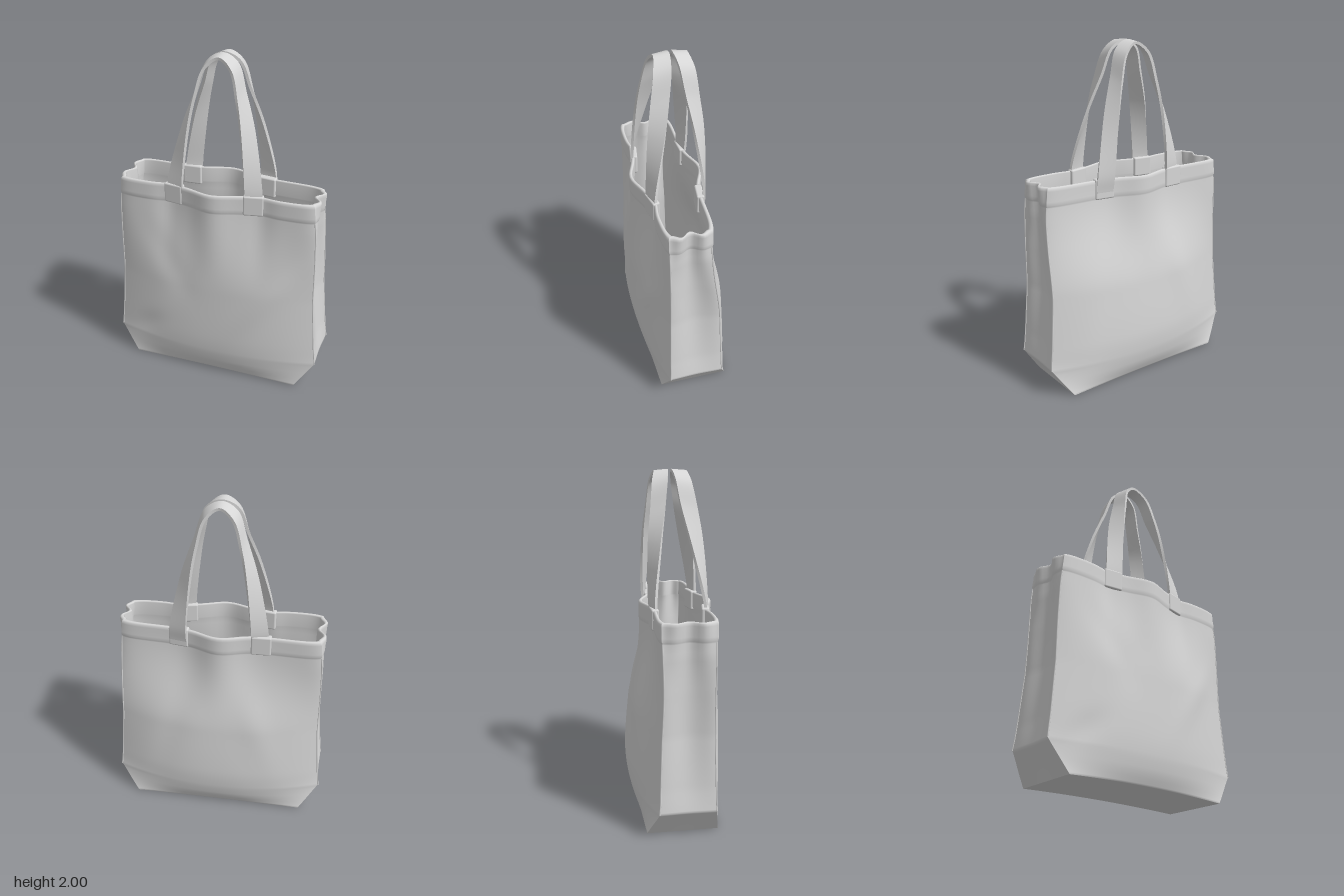
import * as THREE from 'three';
import { RoundedBoxGeometry } from 'three/addons/geometries/RoundedBoxGeometry.js';

const WALL = 0.014;
const { lerp, smoothstep } = THREE.MathUtils;

// Bag sections by height: y, corner x, front corner z, back corner z,
// front middle z, back middle z, side bulge, side pinch
const LEVELS = [
  [0.00, 0.530, 0.205, -0.205, 0.212, -0.212, 0.00, 0.000],
  [0.07, 0.578, 0.192, -0.182, 0.238, -0.242, 0.00, 0.003],
  [0.17, 0.646, 0.174, -0.148, 0.258, -0.264, 0.00, 0.005],
  [0.30, 0.632, 0.170, -0.140, 0.265, -0.270, 0.00, 0.015],
  [0.60, 0.610, 0.164, -0.128, 0.262, -0.247, 0.00, 0.030],
  [0.85, 0.609, 0.163, -0.114, 0.258, -0.222, 0.00, 0.035],
  [1.05, 0.604, 0.165, -0.104, 0.254, -0.200, 0.01, 0.030],
  [1.24, 0.584, 0.168, -0.098, 0.246, -0.180, 0.032, 0.010],
];

// Soft folds: x, y, angle, half length, half width, depth
const FRONT_FOLDS = [
  [-0.33, 0.85, -1.0, 0.28, 0.08, -0.009], [-0.15, 0.70, 1.2, 0.25, 0.09, -0.008],
  [0.36, 0.62, 0.95, 0.28, 0.07, 0.009], [-0.45, 0.25, 0.6, 0.14, 0.07, -0.009],
];
const BACK_FOLDS = [
  [-0.20, 0.75, 1.25, 0.40, 0.09, 0.009], [0.25, 0.70, -1.3, 0.40, 0.09, -0.009],
];

function foldDepth(folds, x, y) {
  let d = 0;
  for (const [fx, fy, a, len, wid, depth] of folds) {
    const along = ((x - fx) * Math.cos(a) + (y - fy) * Math.sin(a)) / len;
    const across = ((y - fy) * Math.cos(a) - (x - fx) * Math.sin(a)) / wid;
    d += depth * Math.exp(-along * along - across * across);
  }
  return d;
}

// Section at height y: widths run straight, depths follow a smooth curve
function levelAt(y) {
  const last = LEVELS.length - 1;
  let i = 0;
  while (i < last - 1 && y > LEVELS[i + 1][0]) i++;
  const a = LEVELS[i], b = LEVELS[i + 1], h = b[0] - a[0];
  const t = THREE.MathUtils.clamp((y - a[0]) / h, 0, 1);
  const slope = (n, k) => {
    const p = LEVELS[Math.max(0, n - 1)], q = LEVELS[Math.min(last, n + 1)];
    return (q[k] - p[k]) / (q[0] - p[0]);
  };
  return a.map((v, k) => {
    const line = lerp(v, b[k], t);
    if (k < 2) return line;
    const s = (b[k] - v) / h;
    return line + h * t * (1 - t) * ((slope(i, k) - s) * (1 - t) - (slope(i + 1, k) - s) * t);
  });
}

// Wavy line of the mouth: bowed out between the handles
const bell = (d, w) => Math.exp(-((d / w) ** 2));
const mouthZ = (x, side) => side > 0
  ? 0.187 + 0.057 * bell(x, 0.13) - 0.016 * bell(Math.abs(x) - 0.28, 0.07)
  : -0.115 + 0.05 * x - 0.065 * bell(x, 0.14);

// Depth of the front (side 1) or back (side -1) panel at x
function panelZ(x, y, side) {
  const L = levelAt(y), u = Math.min(1, Math.abs(x) / L[1]);
  const corner = side > 0 ? L[2] : L[3], mid = side > 0 ? L[4] : L[5];
  const fold = foldDepth(side > 0 ? FRONT_FOLDS : BACK_FOLDS, x, y) * (1 - u ** 6) * smoothstep(y, 0, 0.15);
  const low = lerp(mid, corner, u ** 2.2) + side * fold;
  const high = mouthZ(x, side) - side * 0.02 * u ** 14;
  return lerp(low, high, smoothstep(y, 0.6, 1.2));
}

// Closed ring round the bag, moved inward by inset
function bagRing(y, inset, squash = 1) {
  const N = 56, M = 20, pts = [], L = levelAt(y);
  const panel = (k, side) => {
    const x = L[1] * Math.sin(Math.PI * (k / N - 0.5)) * side;
    pts.push([x * (1 - inset / L[1]), panelZ(x, y, side) - side * inset]);
  };
  const gusset = (k, side) => {
    const v = (1 - Math.cos(Math.PI * k / M)) / 2;
    const front = panelZ(side * L[1], y, 1) - inset, back = panelZ(side * L[1], y, -1) + inset;
    const x = L[1] - inset + L[6] * Math.sin(2 * Math.PI * v) ** 2 - L[7] * Math.sin(Math.PI * v) ** 2;
    pts.push([side * x, lerp(front, back, side > 0 ? v : 1 - v)]);
  };
  for (const side of [1, -1]) {
    for (let k = 0; k < N; k++) panel(k, side);
    for (let k = 0; k < M; k++) gusset(k, side);
  }
  return pts.map(([x, z]) => {
    const lift = 0.012 * (1 - (x / L[1]) ** 2) * Math.max(0, 1 - y / 0.1);
    return new THREE.Vector3(x, y + lift, z * squash);
  });
}

// Skin over closed rings; each ring runs anticlockwise about the path
function loft(rings) {
  const n = rings[0].length, index = [];
  for (let i = 0; i < rings.length - 1; i++) {
    for (let j = 0; j < n; j++) {
      const a = i * n + j, b = i * n + (j + 1) % n;
      index.push(a, b, b + n, a, b + n, a + n);
    }
  }
  const g = new THREE.BufferGeometry().setFromPoints(rings.flat());
  g.setIndex(index);
  g.computeVertexNormals();
  return g;
}

function bagGeometry() {
  const rings = [];
  // underside
  for (const s of [0, 0.3, 0.6, 0.9, 0.98]) rings.push(bagRing(0, 0, s));
  // outer wall
  for (const y of [0, 0.01, 0.04, 0.07, 0.1, 0.14, 0.16, 0.17, 0.18, 0.2]) rings.push(bagRing(y, 0));
  for (let i = 1; i <= 37; i++) rings.push(bagRing(0.2 + i * 0.025, 0));
  // raised hem and rolled rim
  for (const [y, o] of [[1.133, 0], [1.14, -0.004], [1.16, -0.005], [1.19, -0.004], [1.22, -0.005], [1.234, -0.004],
    [1.24, 0.001], [1.242, 0.007], [1.24, 0.013], [1.234, 0.017], [1.15, 0.018], [1.14, WALL]]) rings.push(bagRing(y, o));
  // inner wall and floor
  for (let y = 1.1; y > 0.2; y -= 0.05) rings.push(bagRing(y, WALL));
  for (const y of [0.17, 0.1, 0.03]) rings.push(bagRing(y, WALL));
  for (const s of [0.95, 0.6, 0.3, 0]) rings.push(bagRing(0.018, WALL, s));
  return loft(rings);
}

// Strap spanned between two edge curves, with thickness
function strapGeometry(outer, inner, side) {
  const arch = (half) => new THREE.CatmullRomCurve3([
    ...half.map(([x, y, z]) => new THREE.Vector3(-x, y, z * side)),
    ...half.slice(0, -1).reverse().map(([x, y, z]) => new THREE.Vector3(x, y, z * side)),
  ]);
  const co = arch(outer), ci = arch(inner), steps = 96, rings = [];
  for (let i = 0; i <= steps; i++) {
    const t = i / steps, o = co.getPoint(t), n = ci.getPoint(t);
    const tangent = co.getTangent(t).add(ci.getTangent(t)).normalize();
    const mid = o.clone().add(n).multiplyScalar(0.5);
    const A = n.clone().sub(o).multiplyScalar(0.5);
    const N = tangent.clone().cross(A).normalize().multiplyScalar(0.008);
    const ring = [];
    for (const [a, b] of [[-1, -1], [1, -1], [1, 1], [-1, 1]]) {
      const p = mid.clone().addScaledVector(A, a).addScaledVector(N, b);
      ring.push(p, p.clone()); // doubled corners keep the edges sharp
    }
    rings.push(ring);
  }
  return loft(rings);
}

export function createModel() {
  const group = new THREE.Group();
  const canvas = new THREE.MeshStandardMaterial({ color: 0xd6d6d6 });
  canvas.name = 'pale grey canvas';
  const add = (name, geometry) => {
    const mesh = new THREE.Mesh(geometry, canvas);
    mesh.name = name;
    group.add(mesh);
    return mesh;
  };

  add('bagBody', bagGeometry());

  // Raised seams down the four upright corners
  for (const sx of [1, -1]) {
    for (const side of [1, -1]) {
      const pts = [];
      for (let y = 0.17; y < 1.14; y += 0.06) {
        const x = sx * levelAt(y)[1];
        pts.push(new THREE.Vector3(x, y, panelZ(x, y, side)));
      }
      add('cornerSeam', new THREE.TubeGeometry(new THREE.CatmullRomCurve3(pts), 48, 0.004, 6));
    }
  }

  // Two handles, twisting from flat on the panels to level at the top
  const outerXY = [[0.29, 1.17], [0.285, 1.27], [0.21, 1.6], [0.14, 1.8], [0.085, 1.95], [0, 1.992]];
  const innerXY = [[0.19, 1.17], [0.188, 1.27], [0.153, 1.6], [0.122, 1.77], [0.075, 1.93], [0, 1.985]];
  const withZ = (xy, z) => xy.map((p, i) => [...p, z[i]]);
  add('frontHandle', strapGeometry(
    withZ(outerXY, [0.168, 0.162, 0.09, 0.045, 0.02, 0.01]),
    withZ(innerXY, [0.19, 0.19, 0.168, 0.145, 0.115, 0.098]), 1));
  add('backHandle', strapGeometry(
    withZ(outerXY, [0.108, 0.115, 0.075, 0.042, 0.02, 0.008]),
    withZ(innerXY, [0.126, 0.142, 0.14, 0.125, 0.108, 0.09]), -1));

  // Sewn patches folded over the rim at the handle ends
  for (const side of [1, -1]) {
    for (const x of [-0.247, 0.237]) {
      const y = 1.188;
      const slope = (panelZ(x + 0.05, y, side) - panelZ(x - 0.05, y, side)) / 0.1;
      const patch = add('handlePatch', new RoundedBoxGeometry(0.118, 0.12, 0.044, 3, 0.01));
      patch.position.set(x, y, panelZ(x, y, side) - side * 0.006);
      patch.rotation.y = -Math.atan(slope);
    }
  }
  return group;
}
